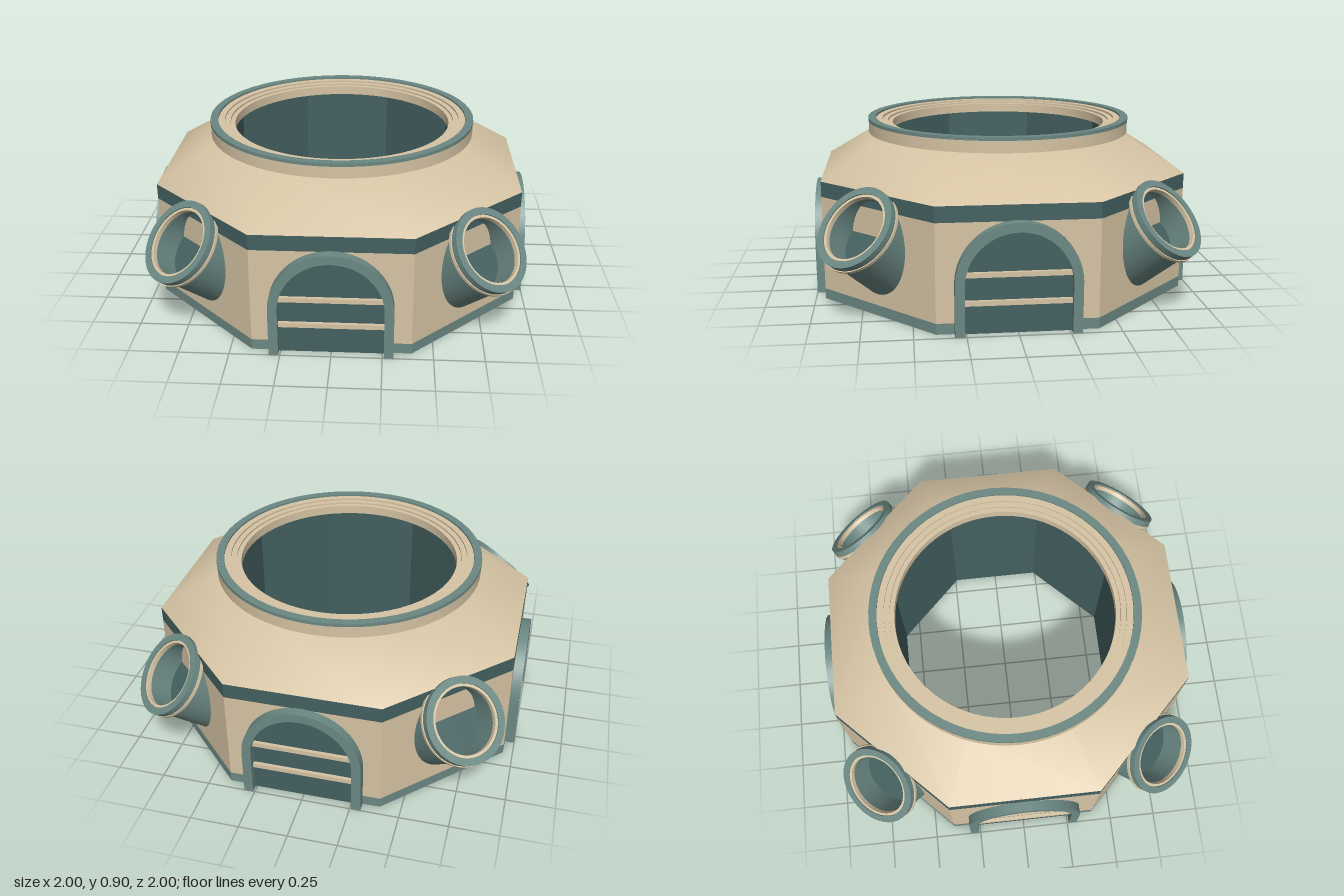
import * as THREE from 'three';
import { toCreasedNormals } from 'three/addons/utils/BufferGeometryUtils.js';

export function createModel() {
  const mat = (name, color) => {
    const m = new THREE.MeshStandardMaterial({ color });
    m.name = name;
    return m;
  };
  const sand = mat('sand', 0xd6c4a4);
  const teal = mat('teal', 0x6b8883);
  const dark = mat('dark teal', 0x446060);

  const model = new THREE.Group();
  model.name = 'octagonalBase';

  const add = (parent, name, geometry, material) => {
    const mesh = new THREE.Mesh(toCreasedNormals(geometry, 0.6), material);
    mesh.name = name;
    parent.add(mesh);
    return mesh;
  };
  // Profiles are [radius, height], running upward on outer faces
  const round = (parent, name, pts, material) =>
    add(parent, name, new THREE.LatheGeometry(pts.map(p => new THREE.Vector2(...p)), 64), material);
  // Eight-sided version, where the radius is measured to the flat sides
  const octagon = (name, pts, material) =>
    add(model, name, new THREE.LatheGeometry(
      pts.map(([r, y]) => new THREE.Vector2(r / Math.cos(Math.PI / 8), y)), 8, Math.PI / 8), material);

  // Body: stacked octagonal bands, sloping roof, hollow core
  const side = 0.95, core = 0.583;
  octagon('baseBand', [[side, 0], [side, 0.055]], teal);
  octagon('walls', [[side, 0.055], [side, 0.55]], sand);
  octagon('topBand', [[side, 0.55], [side, 0.63]], dark);
  octagon('roof', [[side, 0.63], [0.645, 0.825], [core, 0.825]], sand);
  octagon('innerWallsAndUnderside', [[core, 0.825], [core, 0], [side, 0]], dark);

  // Round collar with a stepped inner edge
  round(model, 'collar', [
    [0.58, 0.822], [0.71, 0.822], [0.71, 0.883], [0.67, 0.883], [0.67, 0.89], [0.635, 0.89],
    [0.635, 0.88], [0.605, 0.88], [0.605, 0.87], [0.58, 0.87], [0.58, 0.822],
  ], sand);
  round(model, 'collarRim', [
    [0.67, 0.883], [0.712, 0.883], [0.712, 0.9], [0.67, 0.9], [0.67, 0.883],
  ], teal);

  // Arched outline standing on y = 0
  const arch = (path, r, springY) => {
    path.moveTo(-r, 0);
    path.lineTo(r, 0);
    path.lineTo(r, springY);
    path.absarc(0, springY, r, 0, Math.PI, false);
    path.lineTo(-r, 0);
    return path;
  };
  const extrude = (shape, depth) =>
    new THREE.ExtrudeGeometry(shape, { depth, bevelEnabled: false, curveSegments: 32 });

  // Four arched doors
  for (let i = 0; i < 4; i++) {
    const door = new THREE.Group();
    door.name = 'door';
    door.rotation.y = i * Math.PI / 2;
    model.add(door);

    const frame = new THREE.Shape();
    frame.moveTo(0.305, 0);
    frame.lineTo(0.305, 0.25);
    frame.absarc(0, 0.25, 0.305, 0, Math.PI, false);
    frame.lineTo(-0.305, 0);
    frame.lineTo(-0.258, 0);
    frame.lineTo(-0.258, 0.25);
    frame.absarc(0, 0.25, 0.258, Math.PI, 0, true);
    frame.lineTo(0.258, 0);
    add(door, 'doorFrame', extrude(frame, 0.055), teal).position.z = 0.945;

    add(door, 'doorPanel', extrude(arch(new THREE.Shape(), 0.26, 0.25), 0.009), dark).position.z = 0.948;
    for (const y of [0.157, 0.297])
      add(door, 'doorBar', new THREE.BoxGeometry(0.516, 0.024, 0.03), sand).position.set(0, y, 0.96);
  }

  // Four upward-tilted tubes on the diagonal walls
  for (let i = 0; i < 4; i++) {
    const corner = new THREE.Group();
    corner.name = 'tubeMount';
    corner.rotation.y = Math.PI / 4 + i * Math.PI / 2;
    model.add(corner);

    const tube = new THREE.Group();
    tube.name = 'tube';
    tube.position.set(0, 0.48, 1.075);
    tube.rotation.x = THREE.MathUtils.degToRad(50);
    corner.add(tube);

    round(tube, 'tubeBody', [[0.2, -0.43], [0.2, -0.045], [0.21, -0.045], [0.21, -0.03]], teal);
    round(tube, 'tubeCollar', [[0.2, -0.03], [0.222, -0.03], [0.222, -0.014], [0.2, -0.014]], sand);
    round(tube, 'tubeRim', [[0.2, -0.014], [0.217, -0.014], [0.217, 0.02], [0.18, 0.02], [0.18, 0.01]], teal);
    round(tube, 'tubeLip', [[0.18, 0.014], [0.166, 0.014], [0.166, -0.01]], sand);
    round(tube, 'tubeLining', [[0.166, -0.01], [0.166, -0.14]], teal);
    round(tube, 'tubeFloor', [[0.166, -0.14], [0, -0.14]], dark);
  }
  return model;
}
